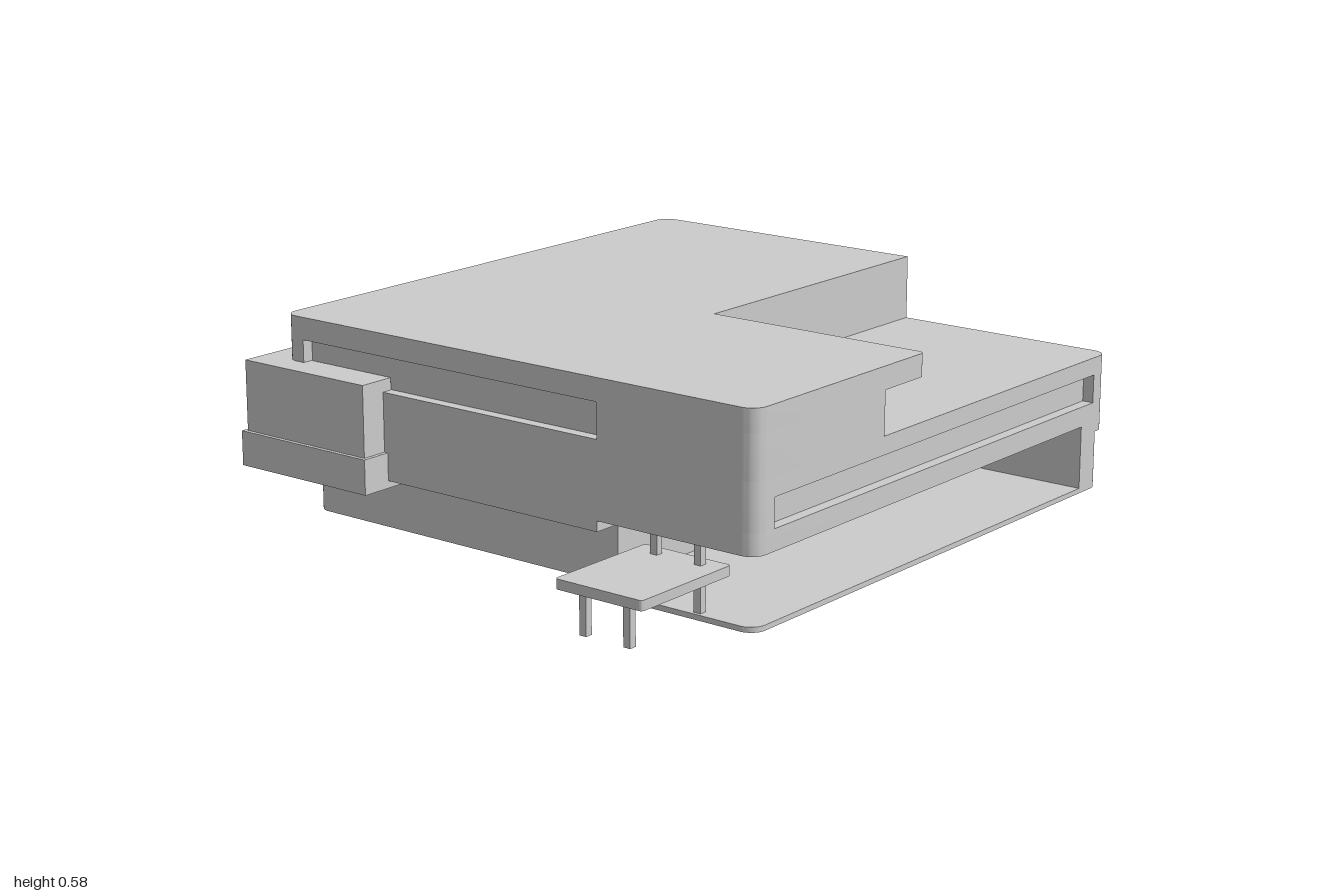
import * as THREE from 'three';
import { toCreasedNormals } from 'three/addons/utils/BufferGeometryUtils.js';

const material = new THREE.MeshStandardMaterial({ color: 0xcccccc, side: THREE.DoubleSide });
const WALL = 0.035;

// Plan outline from corners [x, z, radius]; a radius rounds the corner.
function outline(corners) {
  const shape = new THREE.Shape();
  const n = corners.length;
  corners.forEach(([x, z, r = 0], i) => {
    const p = new THREE.Vector2(x, -z);
    const toward = (c, d) => p.clone().add(new THREE.Vector2(c[0], -c[1]).sub(p).setLength(d));
    const prev = corners[(i + n - 1) % n], next = corners[(i + 1) % n];
    const a = r ? toward(prev, r) : p;
    if (i === 0) shape.moveTo(a.x, a.y);
    else shape.lineTo(a.x, a.y);
    if (r) {
      const c1 = toward(prev, r * 0.45), c2 = toward(next, r * 0.45), b = toward(next, r);
      shape.bezierCurveTo(c1.x, c1.y, c2.x, c2.y, b.x, b.y);
    }
  });
  shape.closePath();
  return shape;
}

// Slab with the given plan, from height y0 to y1.
function slab(parent, name, corners, y0, y1) {
  const geo = new THREE.ExtrudeGeometry(outline(corners), {
    depth: y1 - y0, bevelEnabled: false, curveSegments: 8,
  });
  geo.rotateX(-Math.PI / 2).translate(0, y0, 0);
  const mesh = new THREE.Mesh(toCreasedNormals(geo, 0.6), material);
  mesh.name = name;
  parent.add(mesh);
}

// Wall following a right-angled plan path, thickened toward its inner side.
function wall(parent, name, path, y0, y1, t = WALL) {
  const normal = (a, b) => {
    const dx = b[0] - a[0], dz = b[1] - a[1], l = Math.hypot(dx, dz);
    return [dz / l, -dx / l];
  };
  const inner = path.map((p, i) => {
    const n1 = i > 0 ? normal(path[i - 1], p) : [0, 0];
    const n2 = i < path.length - 1 ? normal(p, path[i + 1]) : [0, 0];
    return [p[0] + t * (n1[0] + n2[0]), p[1] + t * (n1[1] + n2[1]), Math.max((p[2] || 0) - t, 0)];
  });
  slab(parent, name, [...path, ...inner.reverse()], y0, y1);
}

function box(parent, name, [x0, x1], [y0, y1], [z0, z1]) {
  const mesh = new THREE.Mesh(new THREE.BoxGeometry(x1 - x0, y1 - y0, z1 - z0), material);
  mesh.position.set((x0 + x1) / 2, (y0 + y1) / 2, (z0 + z1) / 2);
  mesh.name = name;
  parent.add(mesh);
}

function group(parent, name) {
  const g = new THREE.Group();
  g.name = name;
  parent.add(g);
  return g;
}

export function createModel() {
  const house = new THREE.Group();
  house.name = 'house';

  // Corners of the upper storey
  const R = 0.045, left = -0.777, right = 0.867, front = 0.706;
  const backLeft = [left, -1, R], frontLeft = [left, front, R];
  const frontRight = [right, front, R], backRight = [right, -1, R];

  // Lower storey: set back at the front, left and rear
  const lower = group(house, 'lowerStorey');
  wall(lower, 'lowerWall', [[right, -0.865], [right, -0.972, 0.04], [-0.755, -0.972, 0.04],
    [-0.755, 0.62, 0.04], [0.355, 0.62]], 0, 0.17, 0.02);

  // Sheltered porch, open to the front and the right side
  const porch = group(house, 'porch');
  slab(porch, 'porchFloor', [[0.345, -0.9], [right, -0.9], [right, front, R], [0.345, front]], 0, 0.015);
  box(porch, 'porchInnerWall', [0.345, 0.355], [0.015, 0.21], [-0.875, 0.62]);
  box(porch, 'porchBackWall', [0.345, right - 0.002], [0.015, 0.21], [-0.875, -0.865]);
  box(porch, 'porchCeiling', [0.345, right - WALL], [0.2, 0.21], [-0.875, front - WALL]);

  // Upper storey: bands of wall that leave the windows and the bay open
  const upper = group(house, 'upperStorey');
  const bayRight = [-0.402, front], bayBack = [left, 0.285];
  wall(upper, 'overhang', [[right, -0.865], backRight, backLeft, bayBack], 0.17, 0.2);
  box(upper, 'frontOverhang', [-0.402, 0.355], [0.17, 0.2], [0.602, front]);
  wall(upper, 'mainWall', [bayRight, frontRight, backRight, backLeft, bayBack], 0.2, 0.26);

  // Wall around the side window, with a recessed pane
  const sideFront = [right, 0.625], sideBack = [right, -0.925];
  wall(upper, 'middleWall', [sideBack, backRight, backLeft, frontLeft, frontRight, sideFront], 0.26, 0.395);
  wall(upper, 'sideWindowLintel', [sideFront, sideBack], 0.343, 0.395);
  box(upper, 'sideWindowPane', [0.81, 0.833], [0.25, 0.355], [-0.935, 0.635]);

  // Walls above the terrace level, with the long recessed front window
  const windowRight = [0.355, front], windowLeft = [-0.705, front];
  wall(upper, 'topWall', [windowRight, frontRight, [right, 0.13, 0.02], [0.163, 0.13], [0.163, -1],
    backLeft, frontLeft, windowLeft], 0.395, 0.52);
  wall(upper, 'frontWindowSill', [windowLeft, windowRight], 0.395, 0.42);
  box(upper, 'frontWindowPane', [-0.715, 0.365], [0.41, 0.53], [0.645, 0.672]);

  // Terrace and the roof that overhangs it
  slab(upper, 'terrace', [[0.13, -1], backRight, [right, 0.16], [0.13, 0.16]], 0.365, 0.395);
  slab(upper, 'roof', [backLeft, [0.163, -1], [0.163, -0.04], [right, -0.04, 0.02],
    frontRight, frontLeft], 0.52, 0.585);

  // Bay wrapped around the front left corner, its hollow base open to the inside
  const bay = group(house, 'cornerBay');
  const bayPath = (e, inX, inZ) => [[inX, 0.285 - e], [-0.856 - e, 0.285 - e], [-0.856 - e, 0.785 + e],
    [-0.402 + e, 0.785 + e], [-0.402 + e, inZ]];
  slab(bay, 'bayBody', [...bayPath(0, -0.745, 0.675), [-0.745, 0.675]], 0.25, 0.455);
  wall(bay, 'baySkirt', bayPath(0.012, -0.76, 0.69), 0.165, 0.25, 0.012);
  slab(bay, 'bayFloor', [...bayPath(0.012, -0.74, 0.605), [-0.74, 0.605]], 0.149, 0.165);

  // Front deck on four posts
  const deck = group(house, 'deck');
  slab(deck, 'deckTop', [[0.462, 0.64, 0.01], [0.743, 0.64, 0.01], [0.743, 1, 0.01], [0.462, 1, 0.01]], 0.115, 0.143);
  for (const x of [0.535, 0.677]) {
    for (const [z, height] of [[0.685, 0.2], [0.968, 0.12]]) {
      box(deck, 'deckPost', [x - 0.011, x + 0.011], [0, height], [z - 0.011, z + 0.011]);
    }
  }
  return house;
}
